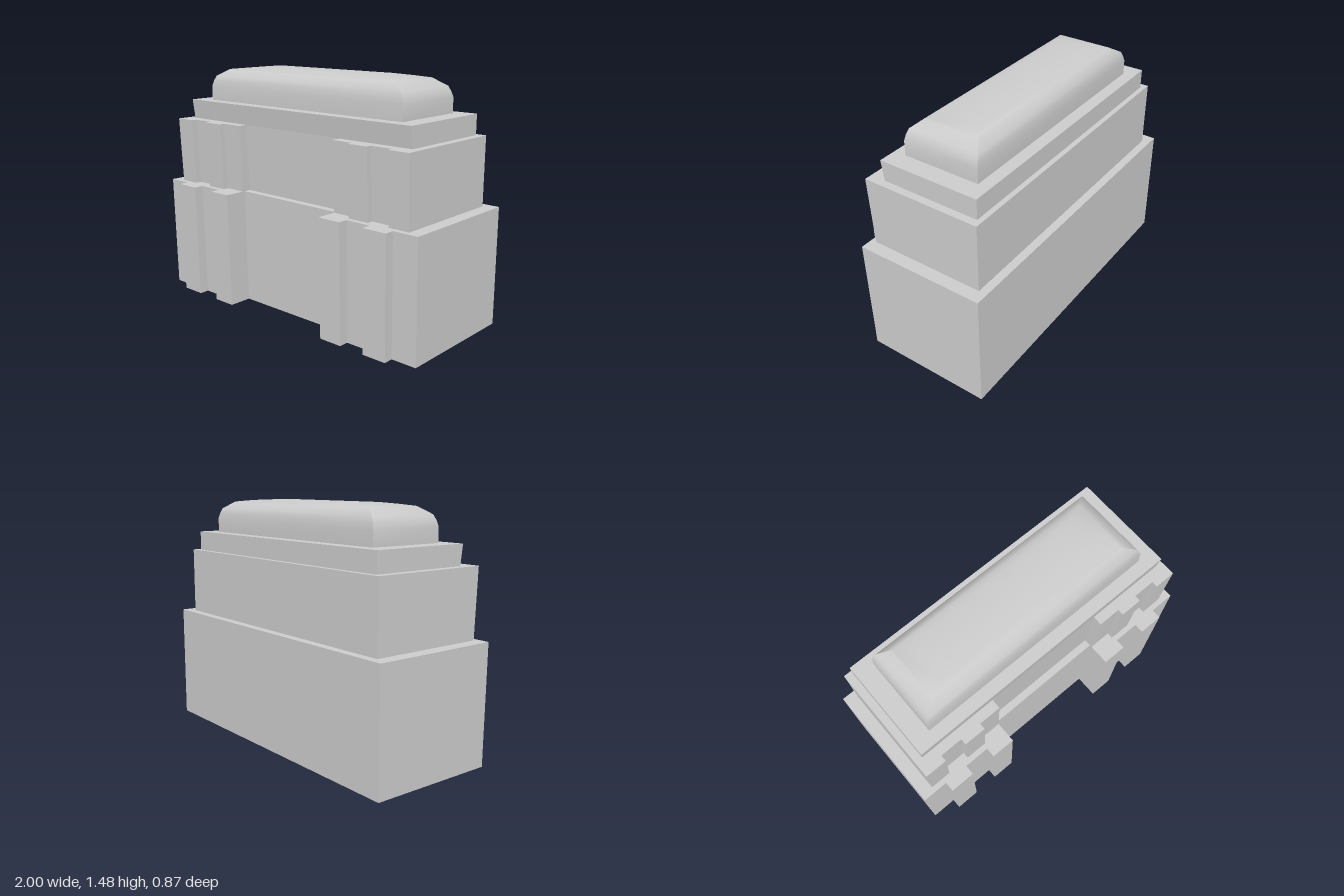
import * as THREE from 'three';
import { toCreasedNormals } from 'three/addons/utils/BufferGeometryUtils.js';

// Walls through a stack of matching outlines, closed by a lid and open below.
function loft(rings, crease) {
  const pos = [];
  const add = (...pts) => pts.forEach((p) => pos.push(p.x, p.y, p.z));
  for (let r = 0; r + 1 < rings.length; r++) {
    const lo = rings[r], hi = rings[r + 1];
    for (let i = 0; i < lo.length; i++) {
      const j = (i + 1) % lo.length;
      add(lo[i], lo[j], hi[j], lo[i], hi[j], hi[i]);
    }
  }
  const top = rings[rings.length - 1];
  const flat = top.map((p) => new THREE.Vector2(p.x, -p.z));
  for (const [a, b, c] of THREE.ShapeUtils.triangulateShape(flat, [])) add(top[a], top[b], top[c]);
  const geo = new THREE.BufferGeometry();
  geo.setAttribute('position', new THREE.Float32BufferAttribute(pos, 3));
  return toCreasedNormals(geo, crease);
}

// Mirrors a right-hand half outline; front points move by `lean`.
function outline(half, y, lean = 0) {
  const right = half.map(([x, z]) => new THREE.Vector3(x, y, z > 0 ? z + lean : z));
  const left = right.map((p) => new THREE.Vector3(-p.x, p.y, p.z)).reverse();
  return [...right, ...left];
}

export function createModel() {
  const group = new THREE.Group();
  const material = new THREE.MeshStandardMaterial({ color: 0xcccccc, side: THREE.DoubleSide });
  const addPart = (name, geo) => {
    const mesh = new THREE.Mesh(geo, material);
    mesh.name = name;
    group.add(mesh);
  };

  // Stepped tiers: half outline at the top, with the front leaning outward
  const tiers = [
    {
      name: 'baseTier', y0: 0, y1: 0.722, lean: 0.015,
      half: [[0.38, 0.287], [0.38, 0.434], [0.53, 0.434], [0.53, 0.373], [0.69, 0.373],
        [0.69, 0.434], [0.843, 0.434], [0.843, 0.373], [1, 0.373], [1, -0.434]],
    },
    {
      name: 'middleTier', y0: 0.722, y1: 1.138, lean: 0.02,
      half: [[0.38, 0.262], [0.38, 0.322], [0.518, 0.322], [0.518, 0.36], [0.652, 0.36],
        [0.652, 0.322], [0.79, 0.322], [0.79, 0.36], [0.922, 0.36], [0.922, -0.383]],
    },
    { name: 'upperTier', y0: 1.138, y1: 1.26, lean: 0.017, half: [[0.875, 0.279], [0.875, -0.352]] },
  ];
  for (const t of tiers) {
    addPart(t.name, loft([outline(t.half, t.y0, -t.lean), outline(t.half, t.y1)], 0.3));
  }

  // Rounded cap: height, half width, half depth
  const capZ = -0.037;
  const capRings = [
    [1.26, 0.763, 0.24], [1.35, 0.763, 0.24], [1.383, 0.752, 0.234], [1.415, 0.735, 0.225],
    [1.46, 0.66, 0.172], [1.469, 0.56, 0.14], [1.477, 0.43, 0.105],
  ].map(([y, w, d]) => outline([[w, capZ + d], [w, capZ - d]], y));
  addPart('roundedCap', loft(capRings, 0.72));

  return group;
}
